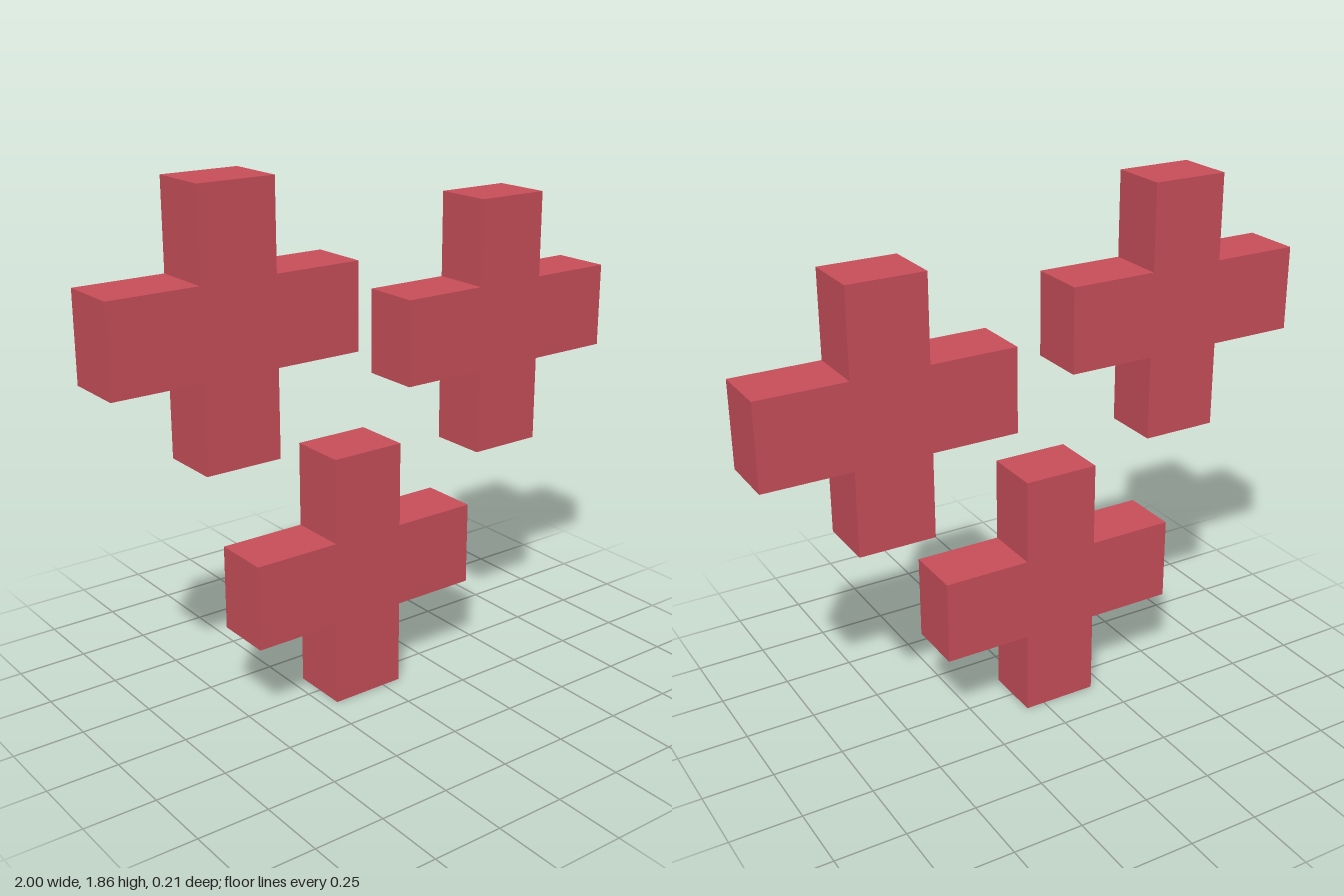
import * as THREE from 'three';

const HALF_W = 0.447, HALF_H = 0.451; // arm reach sideways and upwards
const STEM = 0.136, ARM = 0.15;       // half thickness of upright and crossbar
const DEPTH = 0.21;

// Plus-shaped outline, mirrored corner by corner and extruded
function crossGeometry() {
  const outline = [
    [STEM, -HALF_H], [STEM, -ARM], [HALF_W, -ARM],
    [HALF_W, ARM], [STEM, ARM], [STEM, HALF_H],
  ];
  const points = [...outline, ...outline.map(([x, y]) => [-x, -y])];
  const shape = new THREE.Shape(points.map(([x, y]) => new THREE.Vector2(x, y)));
  const geometry = new THREE.ExtrudeGeometry(shape, { depth: DEPTH, bevelEnabled: false });
  return geometry.translate(0, 0, -DEPTH / 2);
}

export function createModel() {
  const group = new THREE.Group();
  group.name = 'threeCrosses';
  const geometry = crossGeometry();
  const material = new THREE.MeshStandardMaterial({ color: 0xc94f5a });

  // Three identical crosses: upper right, upper left and bottom
  const places = [
    ['upperRightCross', -0.553, 1.406],
    ['upperLeftCross', 0.553, 1.244],
    ['bottomCross', -0.066, 0.451],
  ];
  for (const [name, x, y] of places) {
    const cross = new THREE.Mesh(geometry, material);
    cross.name = name;
    cross.position.set(x, y, 0);
    group.add(cross);
  }
  return group;
}
